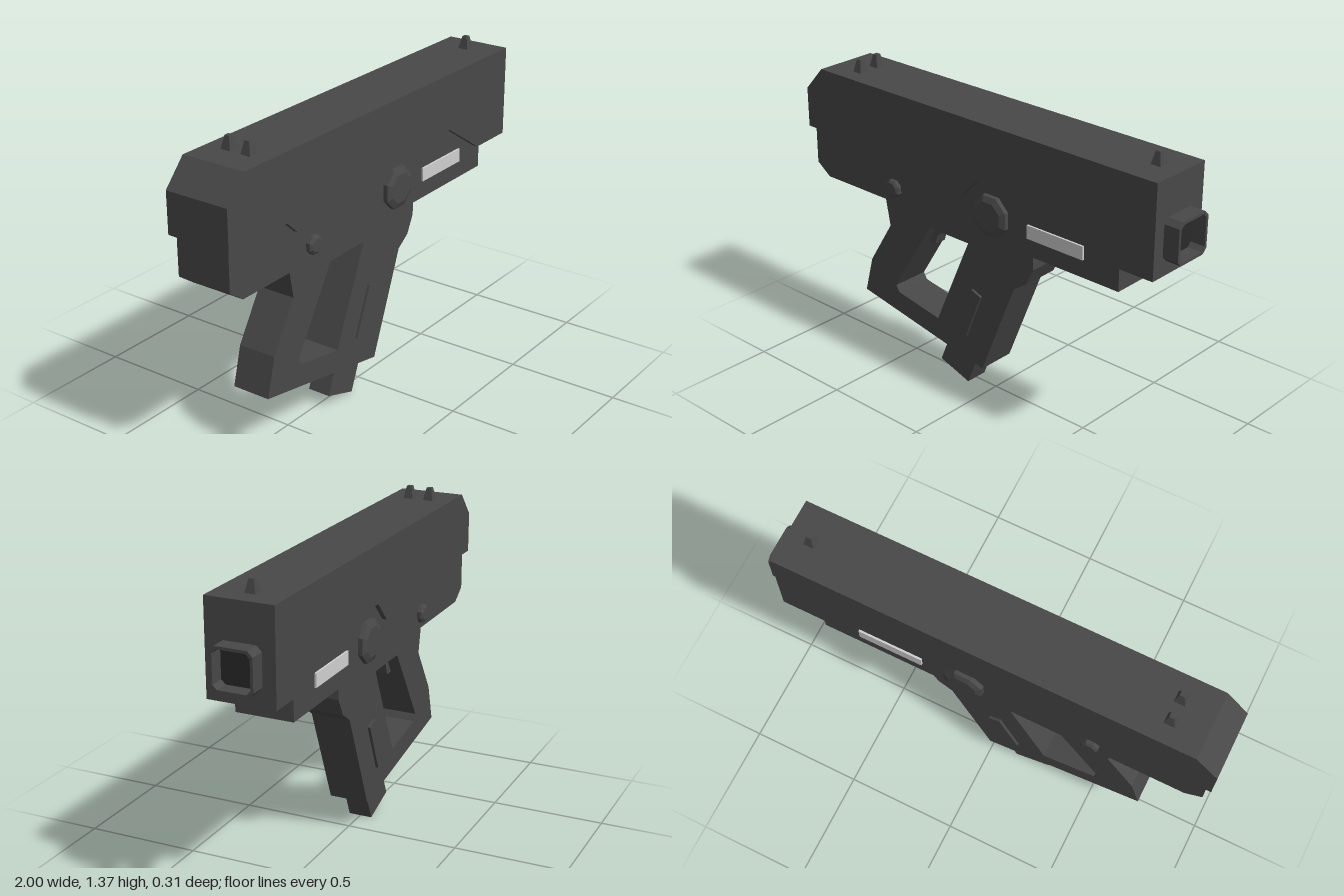
import * as THREE from 'three';

export function createModel() {
  const model = new THREE.Group();
  const mat = (name, color) => {
    const m = new THREE.MeshStandardMaterial({ color });
    m.name = name;
    return m;
  };
  const body = mat('charcoal', 0x484848);
  const dark = mat('bore black', 0x292929);
  const light = mat('pale grey', 0xd0d0d0);

  const add = (name, geo, material = body) => {
    const mesh = new THREE.Mesh(geo, material);
    mesh.name = name;
    model.add(mesh);
    return mesh;
  };
  const toPoints = (pts) => pts.map(([x, y]) => new THREE.Vector2(x, y));
  // Extrudes a side profile between two z values
  const slab = (pts, z0, z1, hole) => {
    const shape = new THREE.Shape(toPoints(pts));
    if (hole) shape.holes.push(new THREE.Path(toPoints(hole)));
    return new THREE.ExtrudeGeometry(shape, { depth: z1 - z0, bevelEnabled: false }).translate(0, 0, z0);
  };

  // Upper housing with stepped lower edge
  add('upperHousing', slab([
    [-1, 1.02], [-1, 1.2], [-0.9, 1.31], [0.93, 1.31], [0.93, 0.905], [0.71, 0.905],
    [0.475, 1.055], [0.03, 1.055], [-0.06, 0.96], [-0.595, 0.96], [-0.66, 1.02],
  ], -0.147, 0.147));

  // Narrower lower frame, its top edge tucked into the housing
  add('lowerFrame', slab([
    [-0.978, 1.03], [-0.978, 0.845], [-0.905, 0.793], [0.755, 0.793], [0.755, 0.905],
    [0.72, 0.915], [0.48, 1.065], [0.02, 1.065], [-0.07, 0.97], [-0.59, 0.97], [-0.65, 1.03],
  ], -0.126, 0.126));

  // Grip loop
  add('grip', slab([
    [-0.585, 0.8], [-0.555, 0.645], [-0.685, 0.435], [-0.73, 0.265], [0, 0.13],
    [0.18, 0.585], [0.245, 0.63], [0.285, 0.71], [0.285, 0.8],
  ], -0.088, 0.088, [
    [-0.31, 0.713], [-0.08, 0.713], [-0.268, 0.282], [-0.512, 0.325], [-0.53, 0.355],
  ]));
  add('trigger', slab([
    [-0.39, 0.605], [-0.335, 0.605], [-0.32, 0.65], [-0.275, 0.72], [-0.32, 0.72],
  ], -0.03, 0.03));
  add('gripFoot', slab([
    [-0.285, 0.055], [-0.12, 0], [-0.055, 0.16], [-0.23, 0.19],
  ], -0.053, 0.053));

  // Raised panels and pale strips on both sides
  for (const s of [1, -1]) {
    const z = (a, b) => (s > 0 ? [a, b] : [-b, -a]);
    add('gripPanel', slab([
      [-0.142, 0.285], [-0.088, 0.264], [0, 0.485], [-0.052, 0.505],
    ], ...z(0.086, 0.1)));
    add('sideStrip', new THREE.BoxGeometry(0.29, 0.06, 0.009), light)
      .position.set(0.435, 0.903, s * 0.1305);
  }

  // Eight-sided bevelled knobs passing through the frame
  const knob = (name, x, y, r, rFace, zEdge, zFace) => {
    const geo = new THREE.LatheGeometry(toPoints([
      [0, -zFace], [rFace, -zFace], [r, -zEdge], [r, zEdge], [rFace, zFace], [0, zFace],
    ]), 8).rotateY(Math.PI / 8).rotateX(Math.PI / 2).toNonIndexed();
    geo.computeVertexNormals();
    add(name, geo).position.set(x, y, 0);
  };
  knob('largeKnob', 0.094, 0.913, 0.095, 0.068, 0.146, 0.157);
  knob('smallKnob', -0.479, 0.863, 0.042, 0.03, 0.142, 0.151);

  // Square front collar with clipped corners and a hollow centre
  const clipped = (h, c) => [
    [-h + c, -h], [h - c, -h], [h, -h + c], [h, h - c],
    [h - c, h], [-h + c, h], [-h, h - c], [-h, -h + c],
  ];
  const alongX = (geo) => geo.rotateY(Math.PI / 2).translate(0, 1.057, 0);
  add('collar', alongX(slab(clipped(0.091, 0.022), 0.925, 1, clipped(0.079, 0.018))));
  add('collarFloor', alongX(new THREE.ShapeGeometry(new THREE.Shape(toPoints(clipped(0.08, 0.018))))
    .translate(0, 0, 0.935)), dark);

  // Tapered sight posts
  for (const [name, x, z] of [['rearSight', -0.752, 0.048], ['rearSight', -0.752, -0.048], ['frontSight', 0.825, -0.002]]) {
    const geo = new THREE.CylinderGeometry(0.0156, 0.034, 0.06, 4).rotateY(Math.PI / 4).toNonIndexed();
    geo.computeVertexNormals();
    add(name, geo).position.set(x, 1.335, z);
  }
  return model;
}
